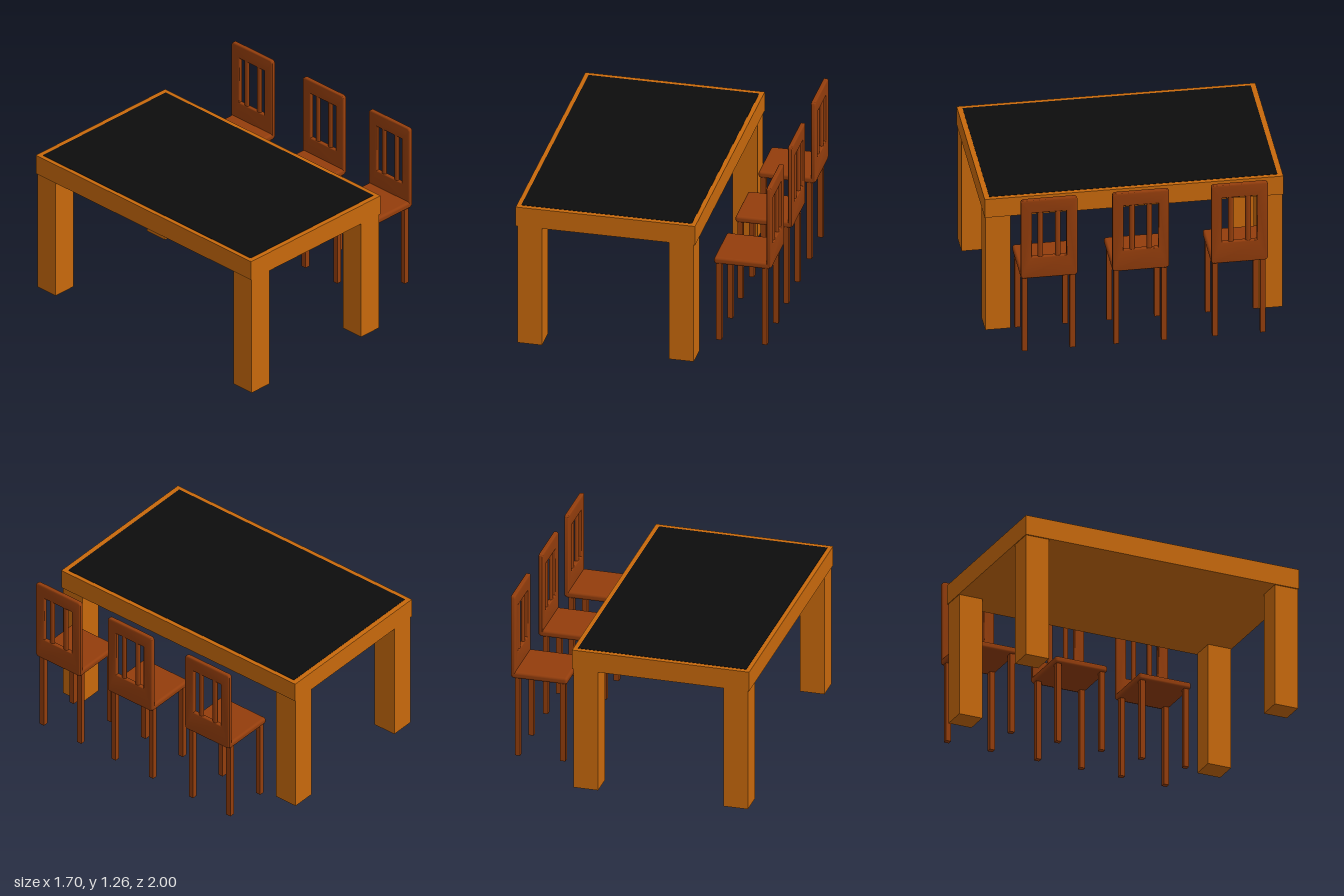
import * as THREE from 'three';
import { RoundedBoxGeometry } from 'three/addons/geometries/RoundedBoxGeometry.js';
import { toCreasedNormals } from 'three/addons/utils/BufferGeometryUtils.js';

const tableWood = new THREE.MeshStandardMaterial({ color: 0xc8690c });
const chairWood = new THREE.MeshStandardMaterial({ color: 0x933d0c });
const black = new THREE.MeshStandardMaterial({ color: 0x0d0d0d });

function add(parent, name, geometry, material, x, y, z) {
  const mesh = new THREE.Mesh(geometry, material);
  mesh.name = name;
  mesh.position.set(x, y, z);
  parent.add(mesh);
  return mesh;
}

function createTable() {
  const table = new THREE.Group();
  table.name = 'table';
  add(table, 'tableTop', new THREE.BoxGeometry(1.22, 0.14, 2), tableWood, 0, 0.94, 0);
  add(table, 'blackInlay', new THREE.BoxGeometry(1.16, 0.01, 1.93), black, 0, 1.007, 0);
  const leg = new THREE.BoxGeometry(0.168, 0.87, 0.168);
  for (const sx of [-1, 1]) for (const sz of [-1, 1]) {
    add(table, 'tableLeg', leg, tableWood, sx * 0.516, 0.435, sz * 0.911);
  }
  table.position.x = -0.24;
  return table;
}

// Rounded panel with a rectangular window, turned to face along x
function backGeometry() {
  const w = 0.19, y0 = 0.662, y1 = 1.262, r = 0.022;
  const shape = new THREE.Shape();
  shape.moveTo(-w + r, y0);
  shape.lineTo(w - r, y0);
  shape.absarc(w - r, y0 + r, r, -Math.PI / 2, 0);
  shape.absarc(w - r, y1 - r, r, 0, Math.PI / 2);
  shape.absarc(-w + r, y1 - r, r, Math.PI / 2, Math.PI);
  shape.absarc(-w + r, y0 + r, r, Math.PI, Math.PI * 1.5);
  const hole = new THREE.Path();
  hole.moveTo(-0.116, 0.823);
  hole.lineTo(-0.116, 1.16);
  hole.lineTo(0.116, 1.16);
  hole.lineTo(0.116, 0.823);
  hole.closePath();
  shape.holes.push(hole);
  const geometry = new THREE.ExtrudeGeometry(shape, {
    depth: 0.015, bevelThickness: 0.008, bevelSize: 0.008, bevelOffset: -0.008,
    bevelSegments: 3, curveSegments: 5,
  });
  geometry.translate(0, 0, -0.0075);
  geometry.rotateY(Math.PI / 2);
  return toCreasedNormals(geometry, 0.6);
}

function createChair(z) {
  const chair = new THREE.Group();
  chair.name = 'chair';
  add(chair, 'seat', new RoundedBoxGeometry(0.385, 0.047, 0.38, 3, 0.017), chairWood, 0.649, 0.681, 0);
  add(chair, 'backrest', backGeometry(), chairWood, 0.83, 0, 0);
  const slat = new THREE.CylinderGeometry(0.019, 0.019, 0.35, 12);
  const leg = new THREE.BoxGeometry(0.036, 0.58, 0.036);
  for (const side of [-1, 1]) {
    add(chair, 'backSlat', slat, chairWood, 0.83, 0.99, side * 0.058).scale.x = 0.7;
    add(chair, 'frontChairLeg', leg, chairWood, 0.489, 0.38, side * 0.16);
    add(chair, 'rearChairLeg', leg, chairWood, 0.8, 0.38, side * 0.16);
  }
  chair.position.z = z;
  return chair;
}

export function createModel() {
  const model = new THREE.Group();
  model.name = 'tableWithChairs';
  model.add(createTable());
  for (const z of [0.641, 0.027, -0.634]) model.add(createChair(z));
  return model;
}
